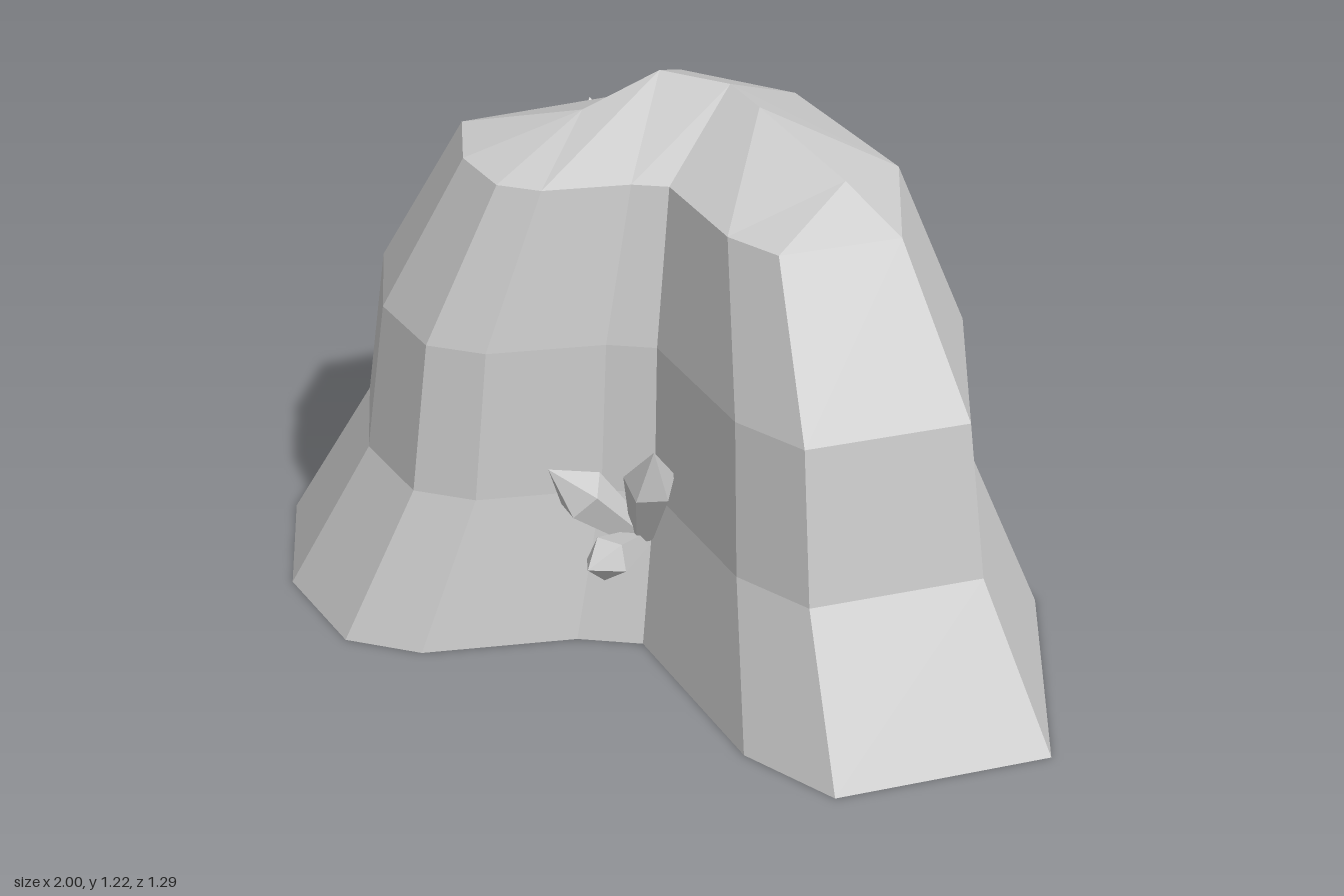
import * as THREE from 'three';

const stone = new THREE.MeshStandardMaterial({ color: 0xcccccc, flatShading: true, side: THREE.DoubleSide });

// Kidney-shaped footprint [x, z], running clockwise seen from above
const footprint = [
  [-0.46, -0.62], [0.065, -0.65], [0.73, -0.25], [1, 0.28], [0.655, 0.63], [0.415, 0.59], [0.02, 0.335],
  [-0.12, 0.39], [-0.4, 0.605], [-0.58, 0.645], [-0.82, 0.51], [-1, 0.235], [-0.55, -0.3],
];
// Height and scale of each wall ring
const levels = [[0, 1], [0.365, 0.797], [0.73, 0.745], [1.093, 0.547]];
// Curved crest of the top, and the crest point each footprint corner rises to
const crest = [[-0.27, 1.162, 0.07], [-0.16, 1.22, -0.08], [0.01, 1.22, -0.092], [0.12, 1.22, -0.02], [0.39, 1.165, 0.105]];
const crestOf = [1, 2, 3, 4, 4, 3, 2, 1, 0, 0, 0, 0, 1];

// Open-bottomed shell: stacked rings, closed by the crest
function boulderGeometry() {
  const rings = levels.map(([y, s]) => footprint.map(([x, z]) => [x * s, y, z * s]));
  rings.push(crestOf.map((k) => crest[k]));
  const positions = [];
  const n = footprint.length;
  for (let r = 0; r < rings.length - 1; r++) {
    for (let i = 0; i < n; i++) {
      const j = (i + 1) % n;
      const a = rings[r], b = rings[r + 1];
      positions.push(...a[j], ...a[i], ...b[i]);
      if (b[i] !== b[j]) positions.push(...a[j], ...b[i], ...b[j]);
    }
  }
  const geometry = new THREE.BufferGeometry();
  geometry.setAttribute('position', new THREE.Float32BufferAttribute(positions, 3));
  geometry.computeVertexNormals();
  return geometry;
}

// Five-sided crystal widening from its root, then closing to a point
function crystal(root, tip, radius, name) {
  const from = new THREE.Vector3(...root);
  const axis = new THREE.Vector3(...tip).sub(from);
  const length = axis.length();
  const profile = [[0, 0], [radius * 0.45, 0], [radius, length * 0.65], [0, length]];
  const geometry = new THREE.LatheGeometry(profile.map(([r, y]) => new THREE.Vector2(r, y)), 5);
  const mesh = new THREE.Mesh(geometry, stone);
  mesh.position.copy(from);
  mesh.quaternion.setFromUnitVectors(new THREE.Vector3(0, 1, 0), axis.normalize());
  mesh.name = name;
  return mesh;
}

function crystalCluster(name, root, tips) {
  const cluster = new THREE.Group();
  cluster.name = name;
  tips.forEach(([tip, radius], i) => cluster.add(crystal(root, tip, radius, `crystal${i + 1}`)));
  return cluster;
}

export function createModel() {
  const model = new THREE.Group();
  model.name = 'crystalBoulder';

  const boulder = new THREE.Mesh(boulderGeometry(), stone);
  boulder.name = 'boulder';
  model.add(boulder);

  // Cluster in the front hollow
  model.add(crystalCluster('frontCrystals', [-0.015, 0.24, 0.27], [
    [[0.085, 0.56, 0.39], 0.06],
    [[-0.16, 0.465, 0.43], 0.062],
    [[-0.01, 0.3, 0.52], 0.052],
  ]));

  // Cluster on the back right wall
  model.add(crystalCluster('backCrystals', [-0.4, 0.77, -0.23], [
    [[-0.46, 1.0, -0.28], 0.065],
    [[-0.47, 0.83, -0.45], 0.055],
    [[-0.61, 0.84, -0.19], 0.052],
  ]));

  return model;
}
